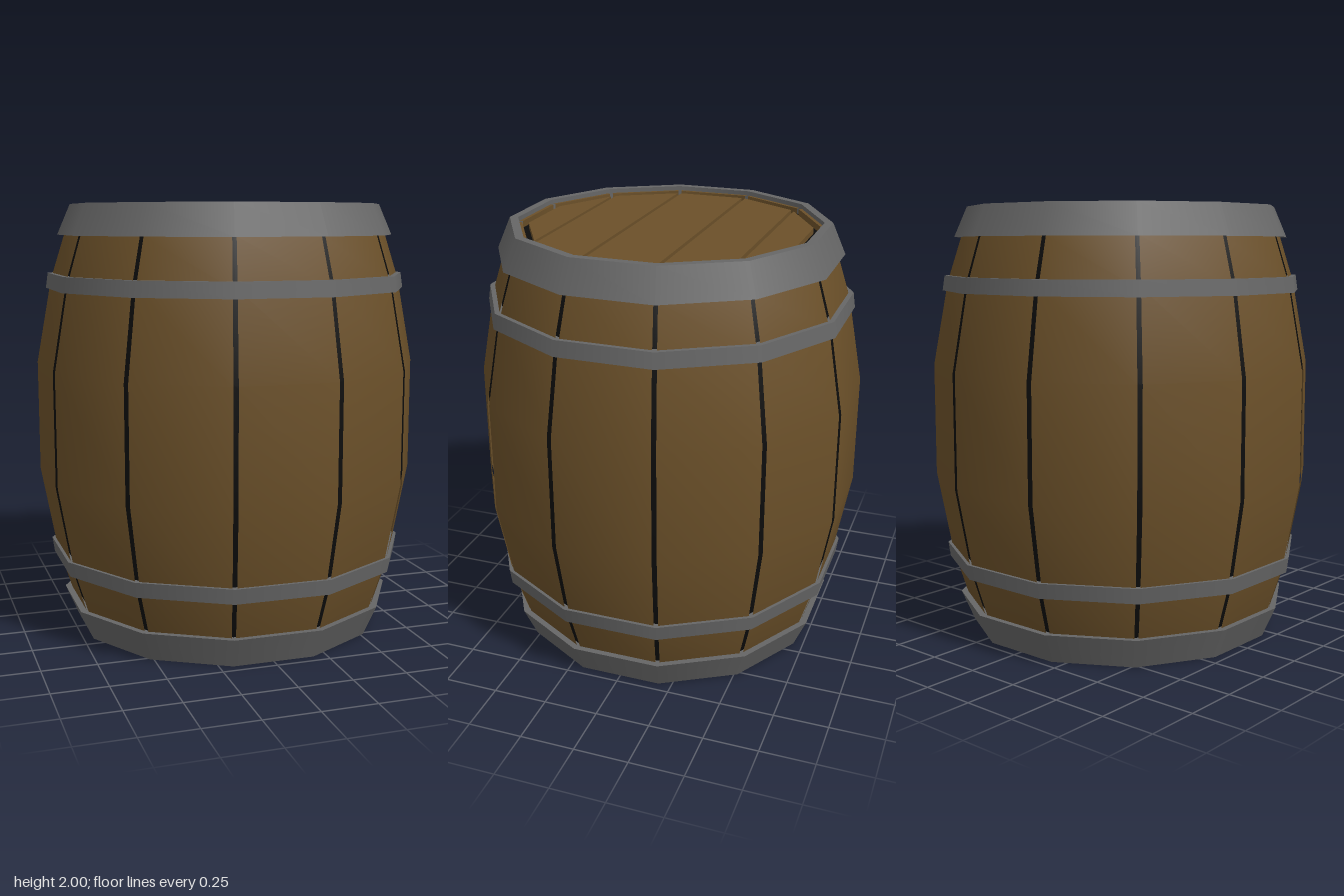
import * as THREE from 'three';
import { mergeGeometries } from 'three/addons/utils/BufferGeometryUtils.js';

const SIDES = 12, STEP = (Math.PI * 2) / SIDES, HEIGHT = 2;
const wood = new THREE.MeshStandardMaterial({ color: 0x6b5029, side: THREE.DoubleSide });
const iron = new THREE.MeshStandardMaterial({ color: 0x666666 });
const dark = new THREE.MeshStandardMaterial({ color: 0x0c0c0c });

// Revolve runs of [apothem, y]; edges between runs stay sharp
function revolve(runs, phi = -STEP / 2, length = Math.PI * 2, segments = SIDES) {
  const k = 1 / Math.cos(length / segments / 2);
  return mergeGeometries(runs.map(run => new THREE.LatheGeometry(
    run.map(([r, y]) => new THREE.Vector2(r * k, y)), segments, phi, length)));
}

// Split a profile into single straight runs
const facets = points => points.slice(1).map((p, i) => [points[i], p]);
// Turn a profile upside down, keeping its winding
const flip = points => points.map(([r, y]) => [r, HEIGHT - y]).reverse();

function add(parent, name, geometry, material) {
  const mesh = new THREE.Mesh(geometry, material);
  mesh.name = name;
  parent.add(mesh);
  return mesh;
}

// Round end of planks; each seam meets a pair of corners
function createHead(name) {
  const head = new THREE.Group();
  head.name = name;
  const radius = 0.622 / Math.cos(STEP / 2), gap = 0.009;
  const corner = i => {
    const a = Math.PI / 2 - STEP * (i + 0.5);
    return [radius * Math.cos(a), radius * Math.sin(a)];
  };
  for (let i = 0; i < 5; i++) {
    const [x0, y0] = corner(i), [x1, y1] = corner(i + 1);
    const top = y0 - (i > 0 ? gap : 0), bottom = y1 + (i < 4 ? gap : 0);
    const halfWidth = y => x0 + (x1 - x0) * (y - y0) / (y1 - y0);
    const a = halfWidth(top), b = halfWidth(bottom);
    const shape = new THREE.Shape([[-a, top], [-b, bottom], [b, bottom], [a, top]]
      .map(p => new THREE.Vector2(...p)));
    const plank = new THREE.ExtrudeGeometry(shape, { depth: 0.03, bevelEnabled: false });
    plank.rotateX(-Math.PI / 2).translate(0, 1.945, 0);
    add(head, 'headPlank', plank, wood);
  }
  return head;
}

export function createModel() {
  const barrel = new THREE.Group();
  barrel.name = 'barrel';

  // Bulging staves with narrow gaps between them
  const upper = [[0.87, 1.26], [0.80, 1.65], [0.735, 1.86], [0.69, 1.98]];
  const side = [...flip(upper), ...upper];
  const lip = [[0.69, 1.98], [0.652, 1.98], [0.652, 1.945]];
  const staves = new THREE.Group();
  staves.name = 'staves';
  barrel.add(staves);
  const gapAngle = 0.024;
  const staveGeometry = revolve([side, ...facets(lip), ...facets(flip(lip))],
    -STEP / 2 + gapAngle / 2, STEP - gapAngle, 1);
  for (let i = 0; i < SIDES; i++) {
    add(staves, 'stave', staveGeometry, wood).rotation.y = i * STEP;
  }

  // Dark core seen through the gaps
  const wall = side.slice(1, -1).map(([r, y]) => [r - 0.016, y]);
  const coreSide = [[0.67, 0.05], ...wall, [0.67, 1.95]];
  add(barrel, 'core', revolve([[[0, 0.05], [0.67, 0.05]], coreSide, [[0.67, 1.95], [0, 1.95]]]), dark);

  // Plank heads at both ends
  barrel.add(createHead('topHead'));
  const bottom = createHead('bottomHead');
  bottom.rotation.x = Math.PI;
  bottom.position.y = HEIGHT;
  barrel.add(bottom);

  // Iron end rims and inner hoops
  const rim = [[0.72, 1.86], [0.765, 1.858], [0.705, 2], [0.668, 2], [0.668, 1.95]];
  const hoop = [[0.79, 1.61], [0.822, 1.61], [0.812, 1.68], [0.77, 1.68]];
  add(barrel, 'topRim', revolve(facets(rim)), iron);
  add(barrel, 'bottomRim', revolve(facets(flip(rim))), iron);
  add(barrel, 'upperHoop', revolve(facets(hoop)), iron);
  add(barrel, 'lowerHoop', revolve(facets(flip(hoop))), iron);

  return barrel;
}
